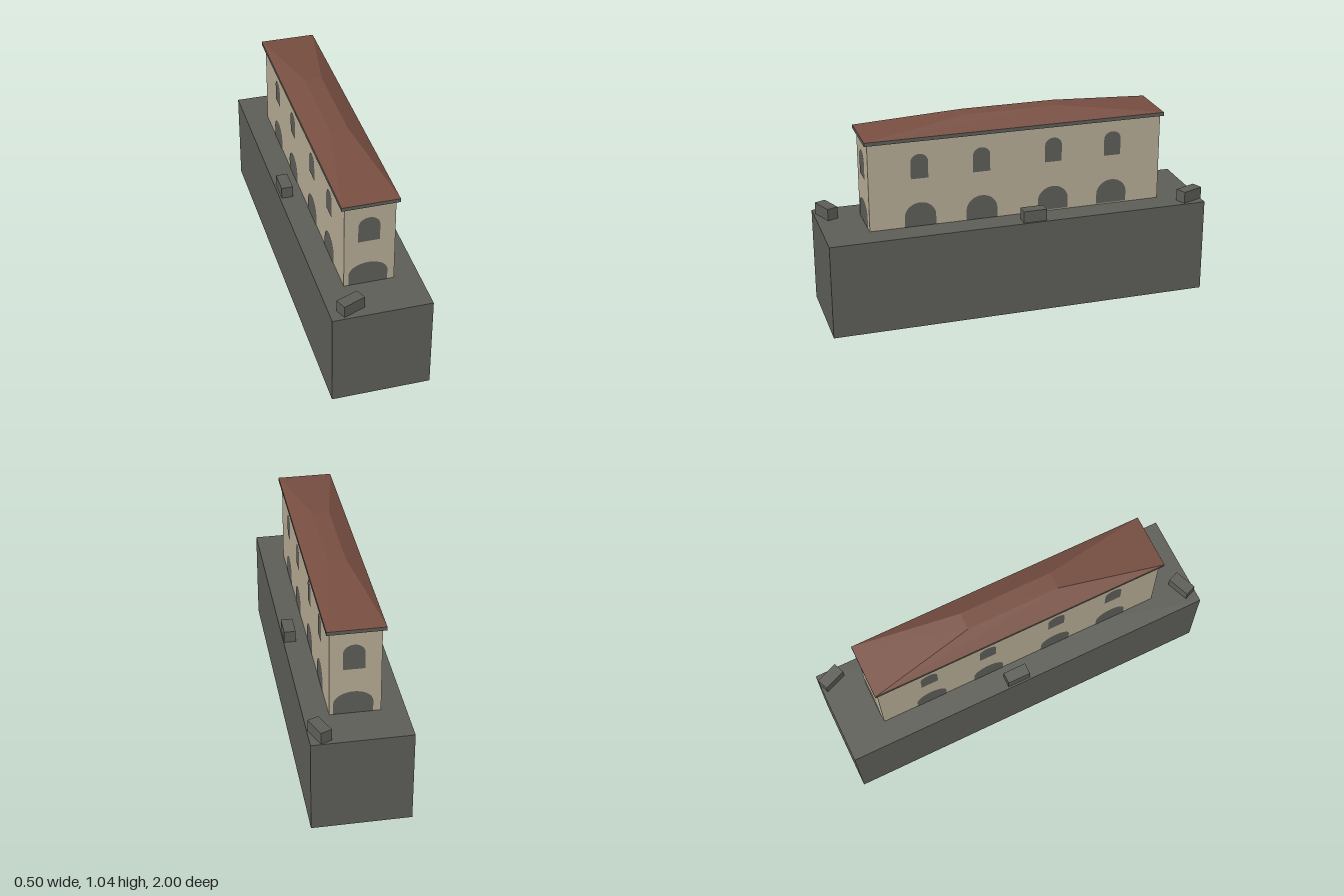
import * as THREE from 'three';

export function createModel() {
  const model = new THREE.Group();
  const mat = (name, color, flatShading = false) => {
    const m = new THREE.MeshStandardMaterial({ color, flatShading });
    m.name = name;
    return m;
  };
  const stone = mat('grey stone', 0x5d5d58);
  const plaster = mat('beige plaster', 0xb6ab94);
  const tile = mat('red roof tile', 0x774e41, true);

  const add = (name, geometry, material, x, y, z, turn = 0) => {
    const mesh = new THREE.Mesh(geometry, material);
    mesh.name = name;
    mesh.position.set(x, y, z);
    mesh.rotation.y = turn;
    model.add(mesh);
    return mesh;
  };
  const box = (name, w, h, d, material, x, bottom, z, turn) =>
    add(name, new THREE.BoxGeometry(w, h, d), material, x, bottom + h / 2, z, turn);

  // Plinth, house body and eaves
  box('plinth', 0.5, 0.5, 2, stone, 0, 0, 0);
  box('houseWalls', 0.253, 0.457, 1.55, plaster, -0.002, 0.503, -0.005);
  box('eaves', 0.287, 0.019, 1.58, stone, -0.003, 0.964, -0.004);

  // Hipped roof with a flat top: a four-sided frustum stretched to the plan
  const roof = new THREE.CylinderGeometry(0.31 * Math.SQRT1_2, Math.SQRT1_2, 0.062, 4);
  roof.rotateY(Math.PI / 4);
  roof.scale(0.287, 1, 1.58);
  add('roof', roof, tile, -0.003, 1.014, -0.004);

  // Opening with straight jambs and an elliptical head, standing on its sill
  const opening = (w, h, rise) => {
    const s = new THREE.Shape();
    s.moveTo(-w / 2, 0);
    s.lineTo(w / 2, 0);
    s.lineTo(w / 2, h - rise);
    s.absellipse(0, h - rise, w / 2, rise, 0, Math.PI, false, 0);
    s.closePath();
    return new THREE.ShapeGeometry(s, 20);
  };
  const endDoor = opening(0.195, 0.124, 0.065);
  const endWindow = opening(0.108, 0.138, 0.05);
  const sideDoor = opening(0.163, 0.128, 0.075);
  const sideWindow = opening(0.09, 0.13, 0.04);

  // Two end walls, then four bays on each long wall
  for (const s of [1, -1]) {
    const turn = s > 0 ? 0 : Math.PI;
    const z = -0.005 + s * 0.777;
    add('endDoorway', endDoor, stone, -0.008 * s, 0.504, z, turn);
    add('endWindow', endWindow, stone, -0.006 * s, 0.756, z, turn);
    const x = -0.002 + s * 0.1285;
    [0.508, 0.185, -0.197, -0.518].forEach((bay, i) => {
      const lift = s > 0 && i > 1 ? 0.011 : 0;
      add('sideDoorway', sideDoor, stone, x, 0.504 + lift / 2, bay * s, s * Math.PI / 2);
      add('sideWindow', sideWindow, stone, x, 0.762 + lift, bay * s, s * Math.PI / 2);
    });
  }

  // Loose stone blocks on the plinth: x, z, turn
  const tilt = THREE.MathUtils.degToRad(22);
  for (const [x, z, turn] of [
    [0.217, -0.063, 0],
    [-0.211, -0.063, 0],
    [0.195, -0.932, tilt],
    [-0.143, 0.94, tilt + Math.PI / 2],
  ]) box('stoneBlock', 0.06, 0.062, 0.122, stone, x, 0.503, z, turn);

  return model;
}
